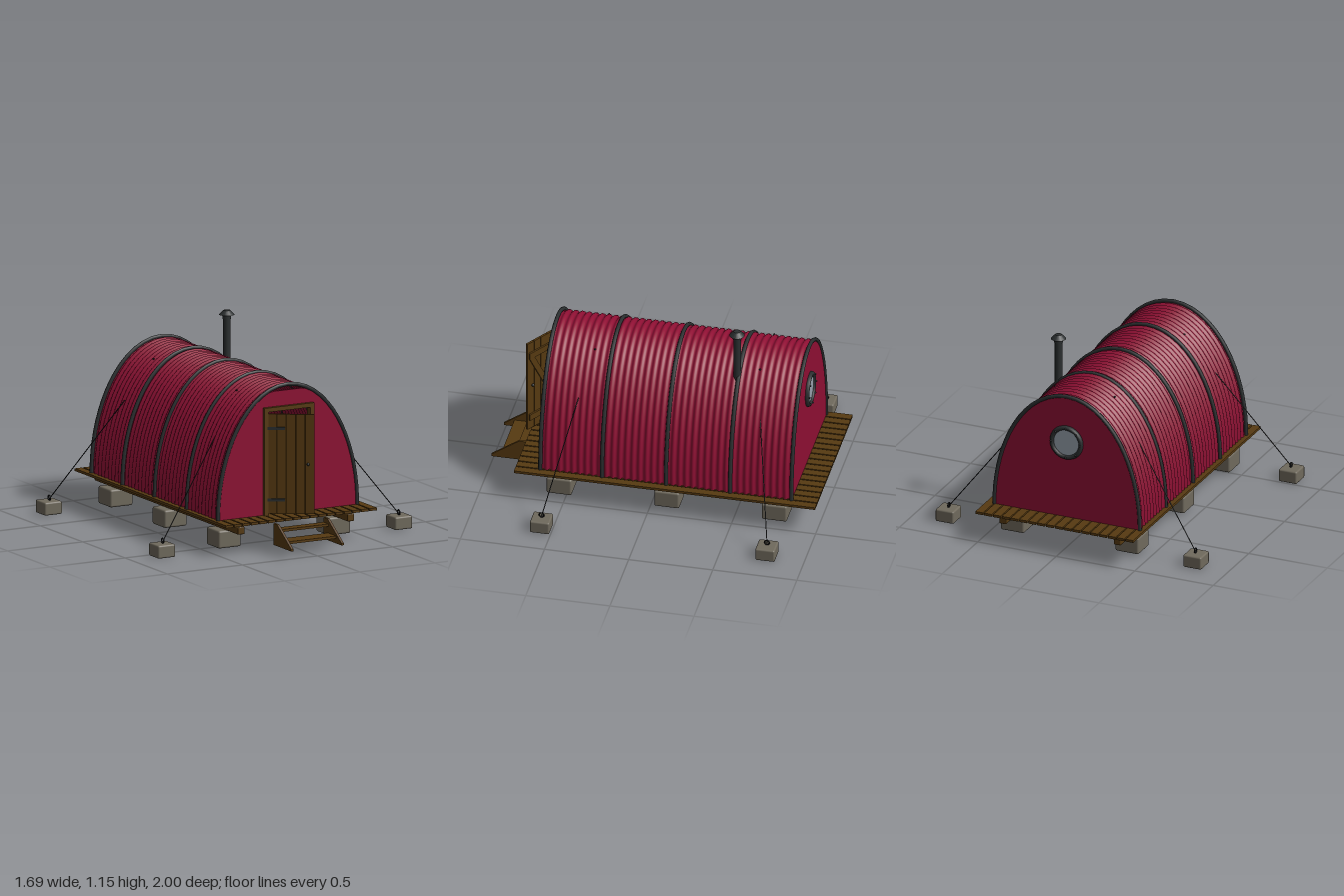
import * as THREE from 'three';
import { RoundedBoxGeometry } from 'three/addons/geometries/RoundedBoxGeometry.js';

const mat = (name, color, side = THREE.FrontSide) => {
  const m = new THREE.MeshStandardMaterial({ color, side });
  m.name = name;
  return m;
};

// Arch outline shared by shell, ribs and end walls
const BASE = 0.19, HALF = 0.458, RISE = 0.758;
const arch = (t, d = 0) => [(HALF + d) * Math.cos(t), BASE + (RISE + d) * Math.sin(t)];

export function createModel() {
  const red = mat('crimson cladding', 0x8e0f33, THREE.DoubleSide);
  const wood = mat('brown wood', 0x573a11);
  const metal = mat('dark metal', 0x2b2f30);
  const stone = mat('concrete', 0x706a5d);
  const glass = mat('window glass', 0x98a2ae);
  const wire = mat('black wire', 0x15171a);
  const cloth = mat('pale bedding', 0x9a978f);

  const model = new THREE.Group();
  const add = (name, geo, material, x = 0, y = 0, z = 0, parent = model) => {
    const m = new THREE.Mesh(geo, material);
    m.name = name;
    m.position.set(x, y, z);
    parent.add(m);
    return m;
  };
  const box = (name, material, x0, x1, y0, y1, z0, z1, parent) =>
    add(name, new THREE.BoxGeometry(x1 - x0, y1 - y0, z1 - z0), material,
      (x0 + x1) / 2, (y0 + y1) / 2, (z0 + z1) / 2, parent);
  const rod = (name, material, a, b, r) => {
    const A = new THREE.Vector3(...a), B = new THREE.Vector3(...b);
    const m = add(name, new THREE.CylinderGeometry(r, r, A.distanceTo(B), 6), material);
    m.position.copy(A).lerp(B, 0.5);
    m.quaternion.setFromUnitVectors(new THREE.Vector3(0, 1, 0), B.sub(A).normalize());
    return m;
  };

  // Deck planks
  for (let i = 0; i < 18; i++) {
    const x = -0.49 + i * 0.0563;
    box('deckPlank', wood, x, x + 0.048, 0.176, 0.191, -1, 0.79);
  }

  // Bearers, foundation blocks
  for (const s of [-1, 1]) {
    add('bearer', new RoundedBoxGeometry(0.045, 0.045, 1.7, 1, 0.006), wood, s * 0.365, 0.1405, -0.1);
    for (const z of [0.54, -0.1, -0.74])
      add('foundationBlock', new RoundedBoxGeometry(0.15, 0.105, 0.15, 2, 0.012), stone, s * 0.365, 0.067, z);
  }

  // Corrugated shell
  const waves = 38, z0 = -0.85, len = 1.5;
  const shell = new THREE.PlaneGeometry(1, 1, 28, waves * 6);
  const p = shell.attributes.position;
  for (let i = 0; i < p.count; i++) {
    const t = (0.5 - p.getX(i)) * Math.PI, v = 0.5 - p.getY(i);
    const [x, y] = arch(t, 0.006 * Math.cos(v * waves * Math.PI * 2));
    p.setXYZ(i, x, y, z0 + v * len);
  }
  shell.computeVertexNormals();
  add('corrugatedShell', shell, red);

  // Hoops around the shell
  const hoopPath = new THREE.CatmullRomCurve3(Array.from({ length: 25 }, (_, i) =>
    new THREE.Vector3(...arch(i / 24 * Math.PI, 0.006), 0)));
  const hoop = new THREE.TubeGeometry(hoopPath, 32, 0.012, 8);
  for (const z of [0.645, 0.278, -0.102, -0.483, -0.848]) add('hoop', hoop, metal, 0, 0, z);

  // End walls
  const outline = top => Array.from({ length: 33 }, (_, i) => {
    const [x, y] = arch(i / 32 * Math.PI, -0.003);
    return new THREE.Vector2(x, Math.min(y, top));
  });
  const wallOptions = { depth: 0.014, bevelEnabled: false };
  const front = new THREE.Shape([...outline(0.92),
    new THREE.Vector2(-0.145, BASE), new THREE.Vector2(-0.145, 0.81),
    new THREE.Vector2(0.145, 0.81), new THREE.Vector2(0.145, BASE)]);
  add('frontWall', new THREE.ExtrudeGeometry(front, wallOptions), red, 0, 0, 0.634);
  const back = new THREE.Shape(outline(2));
  const hole = new THREE.Path();
  hole.absarc(0, 0.665, 0.085, 0, Math.PI * 2, true);
  back.holes.push(hole);
  add('backWall', new THREE.ExtrudeGeometry(back, wallOptions), red, 0, 0, -0.85);

  // Round back window with bolted ring
  const win = new THREE.Group();
  win.name = 'roundWindow';
  win.position.set(0, 0.665, -0.855);
  model.add(win);
  const pane = add('windowPane', new THREE.CylinderGeometry(0.088, 0.088, 0.008, 32), glass, 0, 0, 0, win);
  pane.rotation.x = Math.PI / 2;
  const ring = add('windowRing', new THREE.TorusGeometry(0.092, 0.014, 8, 32), metal, 0, 0, 0, win);
  ring.scale.z = 1.2;
  for (let i = 0; i < 8; i++) {
    const a = i / 8 * Math.PI * 2;
    add('windowBolt', new THREE.SphereGeometry(0.006, 8, 6), metal,
      0.092 * Math.cos(a), 0.092 * Math.sin(a), -0.018, win);
  }

  // Door frame
  for (const s of [-1, 1])
    box('frameSide', wood, s * 0.153 - 0.013, s * 0.153 + 0.013, BASE, 0.83, 0.625, 0.67);
  box('frameTop', wood, -0.14, 0.14, 0.805, 0.83, 0.625, 0.67);

  // Door, standing ajar
  const door = new THREE.Group();
  door.name = 'door';
  door.position.set(-0.14, 0, 0.662);
  door.rotation.y = -0.57;
  model.add(door);
  for (let i = 0; i < 5; i++)
    box('doorPlank', wood, i * 0.055, i * 0.055 + 0.052, 0.203, 0.795, -0.007, 0.007, door);
  for (const y of [0.285, 0.71]) {
    box('doorLedge', wood, 0.015, 0.262, y - 0.02, y + 0.02, -0.018, -0.007, door);
    box('hingeStrap', metal, 0, 0.1, y - 0.008, y + 0.008, 0.007, 0.012, door);
  }
  const brace = box('doorBrace', wood, -0.09, 0.365, 0.48, 0.515, -0.016, -0.007, door);
  brace.rotation.z = 1.08;
  for (const s of [-1, 1])
    add('doorKnob', new THREE.SphereGeometry(0.009, 10, 8), metal, 0.235, 0.5, s * 0.015, door);

  // Entrance steps
  const side = new THREE.Shape([[0.79, 0.045], [1, 0.045], [1, 0.058], [0.835, 0.172], [0.79, 0.172]]
    .map(q => new THREE.Vector2(...q)));
  for (const x of [-0.175, 0.16]) {
    const g = new THREE.ExtrudeGeometry(side, { depth: 0.015, bevelEnabled: false });
    g.rotateY(-Math.PI / 2);
    add('stepStringer', g, wood, x + 0.015, 0, 0);
  }
  box('upperTread', wood, -0.16, 0.16, 0.128, 0.143, 0.785, 0.845);
  box('lowerTread', wood, -0.16, 0.16, 0.074, 0.089, 0.84, 0.937);

  // Stove pipe with cap, and the stove below it
  add('stovePipe', new THREE.CylinderGeometry(0.022, 0.022, 0.7, 16), metal, 0.225, 0.78, -0.472);
  add('pipeCollar', new THREE.CylinderGeometry(0.026, 0.026, 0.02, 16), metal, 0.225, 1.115, -0.472);
  add('pipeCap', new THREE.CylinderGeometry(0.02, 0.045, 0.026, 16), metal, 0.225, 1.142, -0.472);
  box('stove', metal, 0.15, 0.3, 0.2, 0.43, -0.55, -0.39);

  // Bunk inside
  box('bunkBoard', wood, -0.42, -0.17, 0.37, 0.39, -0.83, 0.5);
  box('bunkMattress', cloth, -0.41, -0.18, 0.39, 0.425, -0.8, 0.48);
  for (const z of [-0.8, -0.15, 0.47]) box('bunkLeg', wood, -0.2, -0.175, BASE, 0.37, z, z + 0.025);

  // Guy wires, anchor blocks and roof bolts
  for (const s of [-1, 1]) {
    for (const [za, zt, zb] of [[0.565, 0.44, 0.38], [-0.775, -0.64, -0.6]]) {
      add('anchorBlock', new RoundedBoxGeometry(0.116, 0.077, 0.116, 2, 0.01), stone, s * 0.789, 0.0385, za);
      const eye = add('anchorEye', new THREE.TorusGeometry(0.014, 0.004, 6, 16), wire, s * 0.786, 0.092, za);
      eye.rotation.y = Math.PI / 2;
      rod('guyWire', wire, [s * 0.786, 0.085, za], [s * 0.36, 0.65, zt], 0.0028);
      add('roofBolt', new THREE.SphereGeometry(0.006, 8, 6), wire, s * 0.19, 0.886, zb);
    }
  }
  return model;
}
